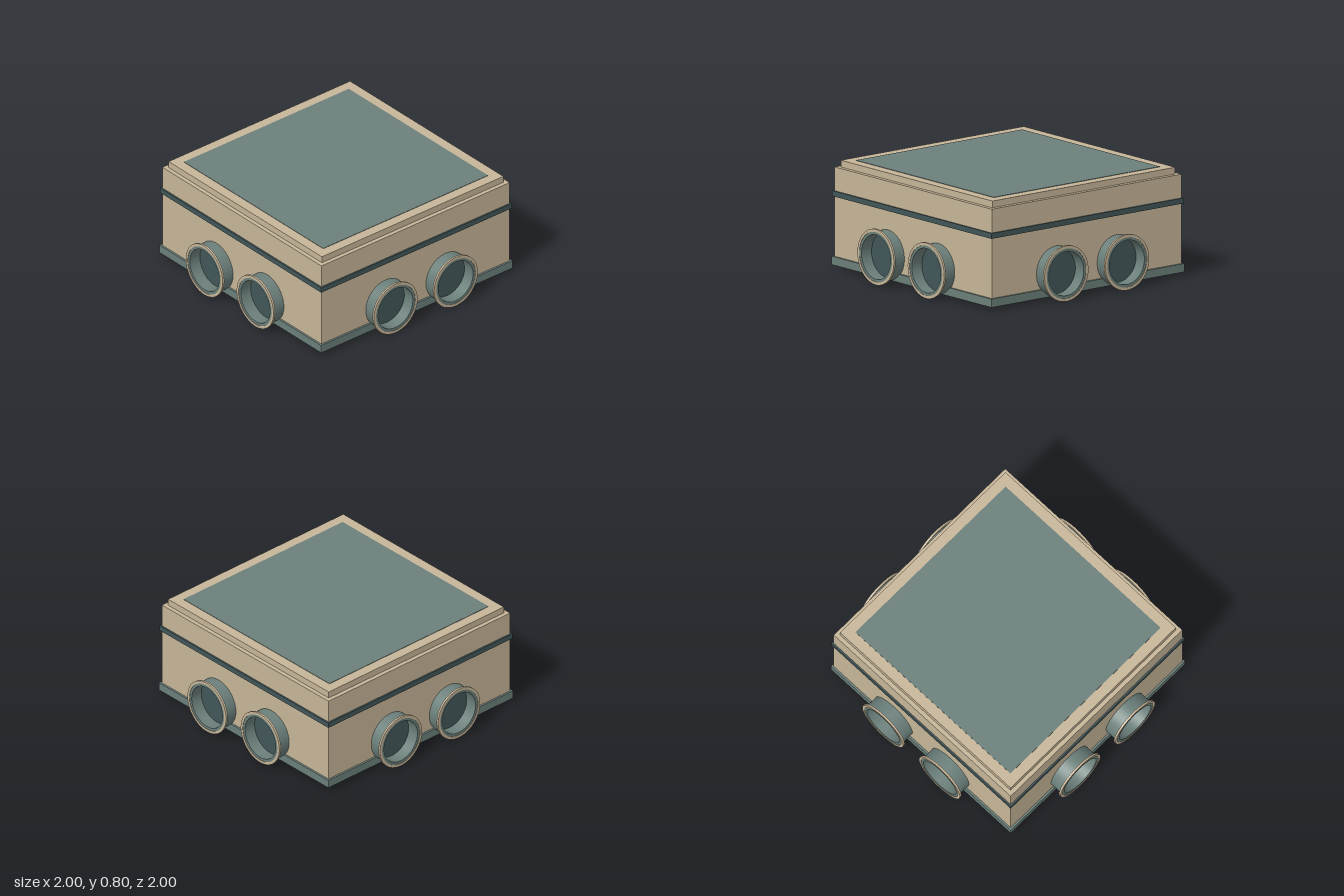
import * as THREE from 'three';
import { toCreasedNormals } from 'three/addons/utils/BufferGeometryUtils.js';

const material = (name, color) => {
  const m = new THREE.MeshStandardMaterial({ color });
  m.name = name;
  return m;
};

// Hollow ring along +z, from z0 to z1
function ring(outer, inner, z0, z1) {
  const shape = new THREE.Shape().absarc(0, 0, outer, 0, Math.PI * 2, false);
  shape.holes.push(new THREE.Path().absarc(0, 0, inner, 0, Math.PI * 2, true));
  const g = new THREE.ExtrudeGeometry(shape, { depth: z1 - z0, bevelEnabled: false, curveSegments: 48 });
  g.translate(0, 0, z0);
  return toCreasedNormals(g, 0.6);
}

export function createModel() {
  const tan = material('tan', 0xc6b598);
  const teal = material('greyTeal', 0x6b7f7a);
  const dark = material('darkTeal', 0x415658);
  const model = new THREE.Group();
  model.name = 'inspectionChamber';

  const add = (parent, name, geometry, mat) => {
    const mesh = new THREE.Mesh(geometry, mat);
    mesh.name = name;
    parent.add(mesh);
    return mesh;
  };

  // Stacked square slabs: name, half width, bottom, top, material
  const slabs = [
    ['base', 0.9, 0.03, 0.092, teal],
    ['lowerBody', 0.885, 0.092, 0.535, tan],
    ['sealBand', 0.897, 0.535, 0.575, dark],
    ['upperBody', 0.885, 0.575, 0.75, tan],
    ['lidFrame', 0.853, 0.75, 0.8, tan],
    ['lidPanel', 0.775, 0.798, 0.803, teal],
  ];
  for (const [name, half, y0, y1, mat] of slabs) {
    add(model, name, new THREE.BoxGeometry(half * 2, y1 - y0, half * 2), mat)
      .position.y = (y0 + y1) / 2;
  }

  // Two flanged pipe sockets on each of the four sides
  const pipeGeo = ring(0.185, 0.163, 0.845, 0.997);
  const flangeGeo = ring(0.205, 0.184, 0.984, 1);
  const plugGeo = new THREE.CircleGeometry(0.165, 48).translate(0, 0, 0.903);
  for (let side = 0; side < 4; side++) {
    const group = new THREE.Group();
    group.name = 'pipeSide' + (side + 1);
    group.rotation.y = side * Math.PI / 2;
    for (const x of [-0.283, 0.283]) {
      const socket = new THREE.Group();
      socket.name = x < 0 ? 'rightSocket' : 'leftSocket';
      socket.position.set(x, 0.208, 0);
      add(socket, 'pipe', pipeGeo, teal);
      add(socket, 'flange', flangeGeo, tan);
      add(socket, 'pipeInterior', plugGeo, dark);
      group.add(socket);
    }
    model.add(group);
  }
  return model;
}
